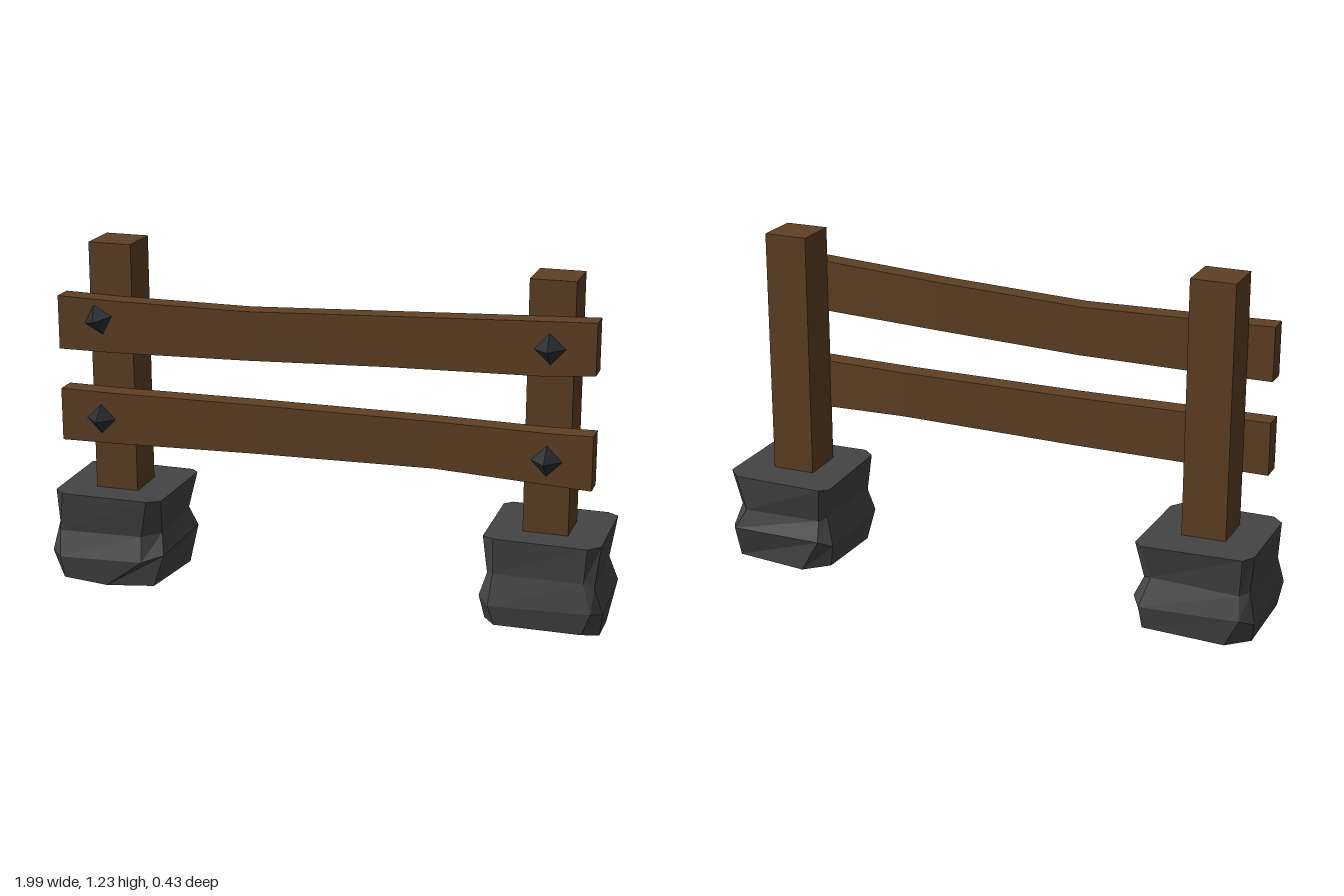
import * as THREE from 'three';

const material = (color) => new THREE.MeshStandardMaterial({ color, flatShading: true });

// Skin a list of rings (counter-clockwise seen from the last ring) and cap both ends.
function loft(rings, capStart, capEnd) {
  const pos = [];
  const tri = (a, b, c) => pos.push(...a, ...b, ...c);
  const n = rings[0].length;
  const last = rings[rings.length - 1];
  for (let i = 0; i < n; i++) {
    const j = (i + 1) % n;
    for (let r = 0; r < rings.length - 1; r++) {
      const lo = rings[r], hi = rings[r + 1];
      tri(lo[i], lo[j], hi[j]);
      tri(lo[i], hi[j], hi[i]);
    }
    tri(capStart, rings[0][j], rings[0][i]);
    tri(capEnd, last[i], last[j]);
  }
  const g = new THREE.BufferGeometry();
  g.setAttribute('position', new THREE.Float32BufferAttribute(pos, 3));
  g.computeVertexNormals();
  return g;
}

// Plank from stations along x: [x, bottom, top, back z]
function railGeometry(stations, depth = 0.075) {
  const rings = stations.map(([x, b, t, z]) => [[x, b, z + depth], [x, b, z], [x, t, z], [x, t, z + depth]]);
  const mid = ([x, b, t, z]) => [x, (b + t) / 2, z + depth / 2];
  return loft(rings, mid(stations[0]), mid(stations[stations.length - 1]));
}

// Rough block: chamfered square rings of [x, y, z], pinched at mid height
function rockGeometry() {
  const bottom = [[-0.2, 0.03, 0.15], [-0.16, 0.02, 0.205], [0.0, 0.005, 0.2], [0.17, 0.01, 0.17],
    [0.205, 0.01, -0.1], [0.17, 0.03, -0.2], [-0.12, 0.02, -0.2], [-0.2, 0.03, -0.15]];
  const bulge = [[-0.212, 0.11, 0.18], [-0.17, 0.1, 0.215], [0.14, 0.11, 0.212], [0.21, 0.13, 0.17],
    [0.212, 0.13, -0.17], [0.18, 0.11, -0.215], [-0.17, 0.12, -0.21], [-0.212, 0.1, -0.17]];
  const waist = [[-0.195, 0.21, 0.15], [-0.18, 0.19, 0.185], [0.13, 0.195, 0.18], [0.19, 0.2, 0.13],
    [0.18, 0.2, -0.16], [0.15, 0.21, -0.18], [-0.16, 0.2, -0.185], [-0.19, 0.21, -0.16]];
  const top = [[-0.2, 0.335, 0.16], [-0.16, 0.335, 0.2], [0.16, 0.335, 0.2], [0.2, 0.33, 0.16],
    [0.208, 0.33, -0.18], [0.18, 0.33, -0.208], [-0.17, 0.335, -0.2], [-0.2, 0.338, -0.16]];
  return loft([bottom, bulge, waist, top], [0, 0.05, 0], [0, 0.335, 0]);
}

export function createModel() {
  const group = new THREE.Group();
  const wood = material(0x5f4024);
  const stone = material(0x444444);
  const iron = material(0x2a2e31);
  const add = (name, geometry, mat, x = 0, y = 0, z = 0) => {
    const mesh = new THREE.Mesh(geometry, mat);
    mesh.name = name;
    mesh.position.set(x, y, z);
    group.add(mesh);
    return mesh;
  };

  // Posts and their stone footings
  const rock = rockGeometry();
  for (const [side, x, height, rockX, turn] of [
    ['right', -0.782, 1.23, -0.787, 0], ['left', 0.776, 1.21, 0.78, Math.PI / 2]]) {
    const base = 0.04;
    add(side + 'Post', new THREE.BoxGeometry(0.156, height - base, 0.16), wood, x, (height + base) / 2, 0.01);
    add(side + 'Footing', rock, stone, rockX).rotation.y = turn;
  }

  // Gently bowed rails
  add('upperRail', railGeometry([
    [-0.95, 0.86, 1.05, 0.09], [-0.75, 0.86, 1.045, 0.088], [-0.27, 0.868, 1.04, 0.073],
    [0.25, 0.888, 1.063, 0.073], [0.78, 0.905, 1.09, 0.088], [0.94, 0.92, 1.097, 0.09]]), wood);
  add('lowerRail', railGeometry([
    [-0.95, 0.527, 0.715, 0.09], [-0.75, 0.529, 0.713, 0.088], [-0.25, 0.537, 0.712, 0.073],
    [0.4, 0.547, 0.712, 0.073], [0.78, 0.534, 0.712, 0.088], [0.94, 0.527, 0.715, 0.09]]), wood);

  // Pointed studs
  const stud = new THREE.OctahedronGeometry(0.053);
  for (const [x, y, roll] of [[-0.8, 0.975, 0.3], [0.787, 0.998, 0.05], [-0.8, 0.617, 0], [0.787, 0.617, 0]]) {
    add('stud', stud, iron, x, y, 0.165).rotation.z = roll;
  }
  return group;
}
